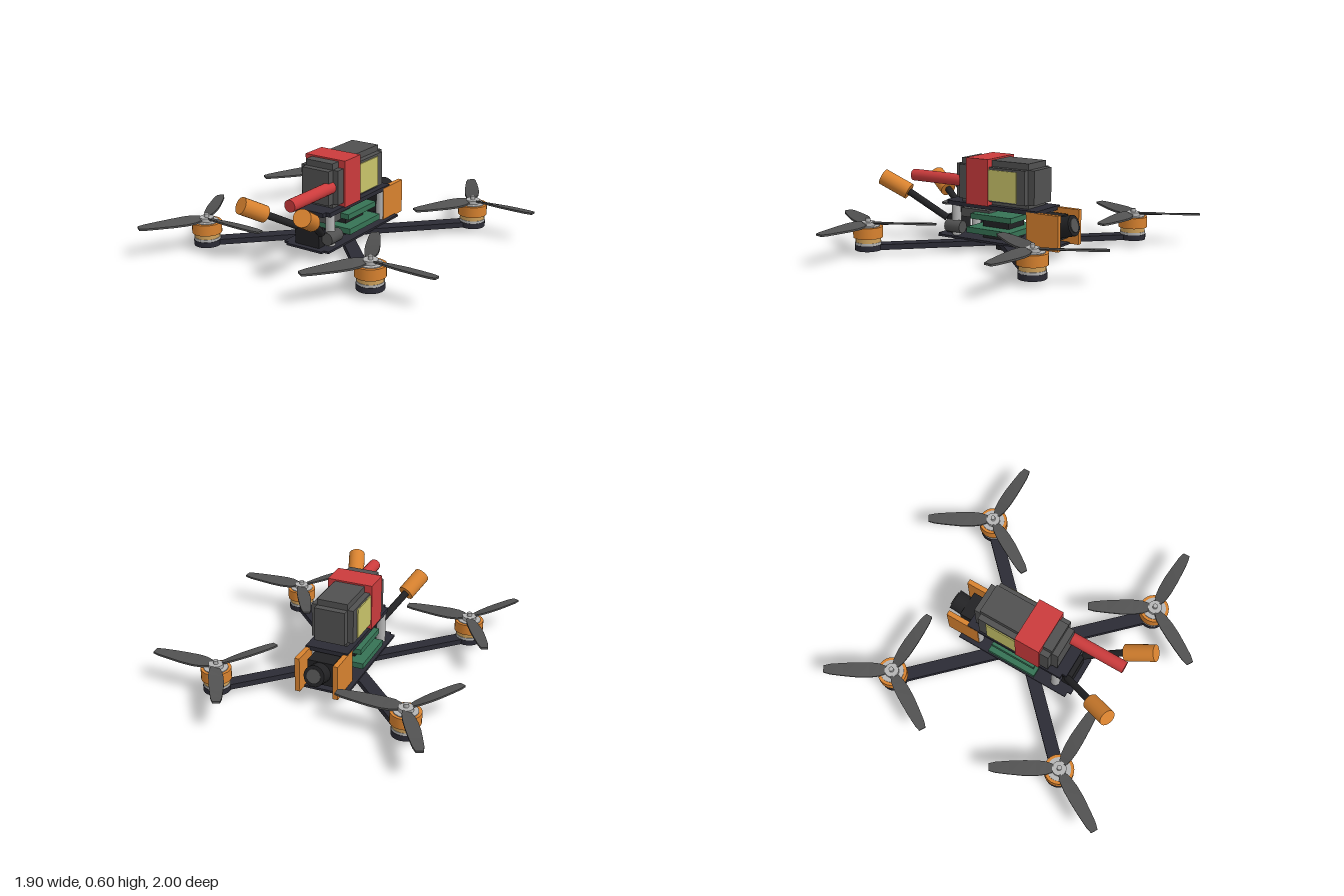
import * as THREE from 'three';

const mat = (name, color) => {
  const m = new THREE.MeshStandardMaterial({ color });
  m.name = name;
  return m;
};

export function createModel() {
  const carbon = mat('carbon', 0x2b2b35);
  const black = mat('black', 0x222224);
  const grey = mat('dark grey', 0x515151);
  const orange = mat('orange', 0xd8822f);
  const copper = mat('copper', 0xcfa25c);
  const silver = mat('silver', 0xb4b4b4);
  const green = mat('board green', 0x367355);
  const red = mat('red', 0xcb3b3c);
  const yellow = mat('label yellow', 0xc9c46a);

  const model = new THREE.Group();
  const body = new THREE.Group();
  body.name = 'drone';
  body.position.x = -0.105;
  model.add(body);

  const add = (name, geo, material, x = 0, y = 0, z = 0, parent = body) => {
    const m = new THREE.Mesh(geo, material);
    m.name = name;
    m.position.set(x, y, z);
    parent.add(m);
    return m;
  };
  // box given by its limits on each axis
  const box = (name, material, x0, x1, y0, y1, z0, z1) =>
    add(name, new THREE.BoxGeometry(x1 - x0, y1 - y0, z1 - z0), material,
      (x0 + x1) / 2, (y0 + y1) / 2, (z0 + z1) / 2);
  // upright cylinder between two heights
  const post = (name, material, r, y0, y1, x, z, parent = body) =>
    add(name, new THREE.CylinderGeometry(r, r, y1 - y0, 24), material, x, (y0 + y1) / 2, z, parent);
  // cylinder between two points
  const rod = (name, material, r, a, b, sides = 20) => {
    const p = new THREE.Vector3(...a), q = new THREE.Vector3(...b);
    const d = q.clone().sub(p), c = p.clone().add(q).multiplyScalar(0.5);
    const m = add(name, new THREE.CylinderGeometry(r, r, d.length(), sides), material, c.x, c.y, c.z);
    m.quaternion.setFromUnitVectors(new THREE.Vector3(0, 1, 0), d.normalize());
    return m;
  };

  // twisted, tapered propeller blade pointing along +x
  const stations = [ // [radius, back edge, front edge, slope]
    [0.035, -0.02, 0.025, 0.35], [0.08, -0.036, 0.04, 0.32], [0.14, -0.044, 0.046, 0.27],
    [0.22, -0.045, 0.046, 0.2], [0.31, -0.038, 0.042, 0.15], [0.39, -0.03, 0.036, 0.1],
    [0.434, -0.018, 0.026, 0.08],
  ];
  const bladeGeo = () => {
    const n = stations.length - 1;
    let g = new THREE.BoxGeometry(1, 0.012, 1, n, 1, 1);
    const p = g.attributes.position;
    for (let i = 0; i < p.count; i++) {
      const [r, back, front, slope] = stations[Math.round((p.getX(i) + 0.5) * n)];
      const z = p.getZ(i) < 0 ? back : front;
      p.setXYZ(i, r, p.getY(i) + z * slope, z);
    }
    g = g.toNonIndexed();
    g.computeVertexNormals();
    return g;
  };
  const blade = bladeGeo();

  // arms, motors and propellers
  const reach = 0.615;
  for (const sx of [-1, 1]) for (const sz of [-1, 1]) {
    const arm = add('arm', new THREE.BoxGeometry(reach * Math.SQRT2, 0.035, 0.085), carbon,
      sx * reach / 2, 0.052, sz * reach / 2);
    arm.rotation.y = -Math.atan2(sz, sx);

    const motor = new THREE.Group();
    motor.name = 'motor';
    motor.position.set(sx * reach, 0, sz * reach);
    body.add(motor);
    post('motorPad', carbon, 0.085, 0.034, 0.07, 0, 0, motor);
    post('motorBase', silver, 0.083, 0.07, 0.086, 0, 0, motor);
    post('windings', copper, 0.08, 0.086, 0.115, 0, 0, motor);
    post('motorBell', orange, 0.094, 0.115, 0.185, 0, 0, motor);
    post('bellCap', silver, 0.075, 0.183, 0.19, 0, 0, motor);
    post('propellerHub', silver, 0.045, 0.19, 0.213, 0, 0, motor);
    post('shaft', silver, 0.015, 0.213, 0.236, 0, 0, motor);
    for (let k = 0; k < 3; k++) {
      add('propellerBlade', blade, grey, 0, 0.203, 0, motor).rotation.y = k * Math.PI * 2 / 3;
    }
  }

  // frame plates with stepped corners
  box('bottomPlate', carbon, -0.17, 0.17, 0.066, 0.08, -0.4, 0.4);
  box('bottomPlateEnds', carbon, -0.135, 0.135, 0.066, 0.08, -0.43, 0.425);
  box('topPlate', carbon, -0.14, 0.14, 0.278, 0.305, -0.34, 0.34);
  box('topPlateFront', carbon, -0.11, 0.11, 0.278, 0.305, 0.3, 0.37);
  post('centreBolt', black, 0.048, 0, 0.036, 0, 0);
  post('centreNut', black, 0.025, 0.08, 0.095, 0, 0);
  for (const sx of [-1, 1]) for (const z of [-0.28, 0.295]) {
    post('standoff', silver, 0.03, 0.08, 0.278, sx * 0.11, z);
  }

  // electronics between the plates
  box('lowerBoard', green, -0.172, 0.172, 0.118, 0.155, -0.17, 0.17);
  box('upperBoard', green, -0.15, 0.15, 0.207, 0.242, -0.155, 0.155);
  box('boardSpacer', black, -0.09, 0.09, 0.08, 0.207, -0.1, 0.1);
  box('transmitter', grey, -0.09, 0.09, 0.2, 0.258, 0.05, 0.27);
  rod('powerConnector', grey, 0.042, [0.125, 0.137, 0.235], [0.125, 0.137, 0.355], 12);
  box('antennaMount', black, -0.09, 0.09, 0.08, 0.2, 0.33, 0.39);

  // tilted camera between orange side plates
  for (const sx of [-1, 1]) {
    box('cameraSidePlate', orange, sx * 0.125 - 0.016, sx * 0.125 + 0.016, 0.07, 0.295, -0.495, -0.265);
  }
  box('cameraBody', black, -0.085, 0.085, 0.11, 0.265, -0.43, -0.28);
  rod('cameraLens', black, 0.067, [0, 0.185, -0.4], [0, 0.218, -0.525]);
  rod('lensGlass', grey, 0.045, [0, 0.216, -0.52], [0, 0.2195, -0.531]);

  // battery with stepped edges, strap, labels and lead
  box('batteryCore', grey, -0.1, 0.1, 0.305, 0.59, -0.255, 0.255);
  box('batterySides', grey, -0.137, 0.137, 0.33, 0.55, -0.25, 0.25);
  box('batteryEnds', grey, -0.1, 0.1, 0.33, 0.55, -0.297, 0.297);
  box('batteryStrap', red, -0.149, 0.149, 0.3, 0.6, 0.02, 0.19);
  for (const sx of [-1, 1]) {
    box('batteryLabel', yellow, sx * 0.14 - 0.004, sx * 0.14 + 0.004, 0.34, 0.535, -0.19, 0.02);
  }
  rod('batteryLead', red, 0.039, [0.085, 0.437, 0.25], [0.085, 0.437, 0.665]);

  // antennas: stem and capped tip
  const antennas = [
    [[-0.08, 0.18, 0.36], [-0.175, 0.31, 0.58], [-0.235, 0.395, 0.725]],
    [[0.1, 0.18, 0.38], [0.203, 0.345, 0.615], [0.265, 0.437, 0.785]],
  ];
  for (const [a, b, c] of antennas) {
    rod('antennaStem', black, 0.023, a, b);
    rod('antennaTip', orange, 0.054, b, c);
  }

  return model;
}
